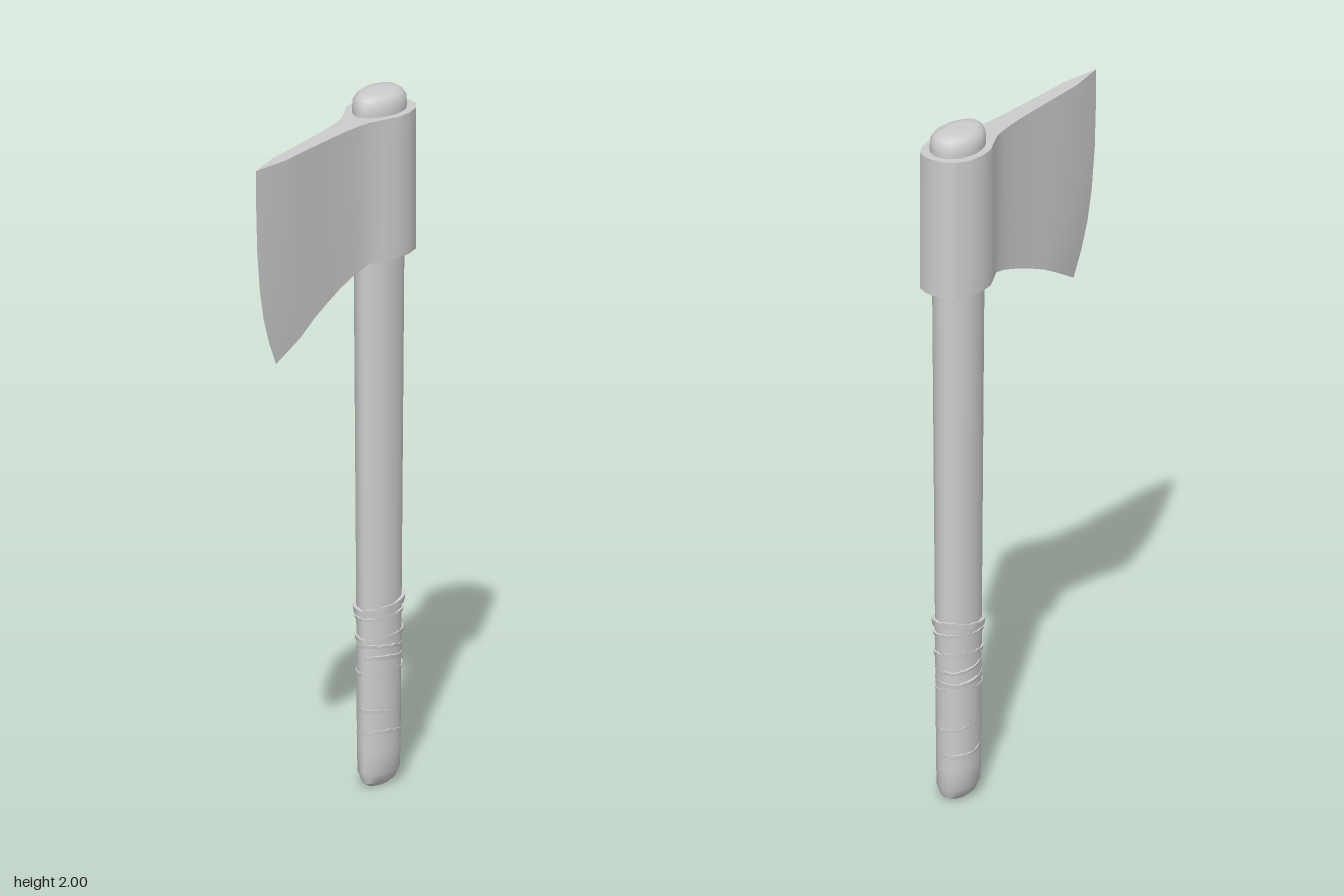
import * as THREE from 'three';
import { mergeVertices, toCreasedNormals } from 'three/addons/utils/BufferGeometryUtils.js';

// Lofts through rings that are mirrored about x = 0 (point 0 at the back), and caps both ends.
function loft(rings, crease) {
  const n = rings[0].length;
  const index = [];
  for (let r = 0; r < rings.length - 1; r++) {
    for (let i = 0; i < n; i++) {
      const j = (i + 1) % n;
      const a = r * n + i, b = r * n + j, c = a + n, d = b + n;
      index.push(a, c, b, b, c, d);
    }
  }
  const top = (rings.length - 1) * n;
  for (let i = 0; i < n / 2; i++) {
    const a = i, b = i + 1, c = (n - i) % n, d = n - i - 1;
    if (i > 0) index.push(top + a, top + c, top + d, a, d, c);
    if (b !== d) index.push(top + a, top + d, top + b, a, b, d);
  }
  const g = new THREE.BufferGeometry();
  g.setAttribute('position', new THREE.Float32BufferAttribute(rings.flat(2), 3));
  g.setIndex(index);
  return toCreasedNormals(mergeVertices(g), crease);
}

// Egg-shaped section, blunt at the back and narrower at the front.
function egg(y, halfWidth, zBack, zFront, sides = 24, warp = () => [0, 0]) {
  const mid = zBack + (zFront - zBack) * 0.45;
  const ring = [];
  for (let i = 0; i < sides; i++) {
    const t = (i / sides) * Math.PI * 2;
    const s = Math.sin(t), c = Math.cos(t);
    const [grow, lift] = warp(t);
    const w = (halfWidth + grow) * Math.sign(s) * Math.pow(Math.abs(s), c < 0 ? 1.2 : 1);
    const z = mid + (c > 0 ? zBack - grow - mid : mid - zFront - grow) * c;
    ring.push([w, y + lift, z]);
  }
  return ring;
}

// Interpolates a list of [input, output] pairs.
function lookup(table, v) {
  for (let i = 1; i < table.length; i++) {
    const [x0, y0] = table[i - 1], [x1, y1] = table[i];
    if (v <= x1) return y0 + (y1 - y0) * Math.max(0, (v - x0) / (x1 - x0));
  }
  return table[table.length - 1][1];
}

// Handle size at a height: half width, back z, front z.
const handleAt = (y) => [
  lookup([[0, 0.053], [0.6, 0.056], [1.5, 0.062], [1.94, 0.066]], y),
  lookup([[0, -0.336], [0.6, -0.342], [1.5, -0.35], [1.94, -0.357]], y),
  lookup([[0, -0.182], [0.6, -0.178], [1.5, -0.17], [1.94, -0.166]], y),
];

export function createModel() {
  const model = new THREE.Group();
  const grey = new THREE.MeshStandardMaterial({ color: 0xcccccc });
  grey.name = 'plain grey';
  const add = (name, geometry) => {
    const mesh = new THREE.Mesh(geometry, grey);
    mesh.name = name;
    model.add(mesh);
  };

  // Axe head: half of the plan outline, from the poll to the cutting edge
  const half = [
    [0, -0.38], [0.03, -0.376], [0.06, -0.36], [0.082, -0.324], [0.09, -0.275], [0.084, -0.228],
    [0.063, -0.185], [0.043, -0.14], [0.035, -0.095], [0.03, -0.05], [0.026, 0.02], [0.024, 0.09],
    [0.022, 0.17], [0.02, 0.262], [0, 0.38],
  ];
  const outline = [...half, ...half.slice(1, -1).reverse().map(([x, z]) => [-x, z])];
  const bottomCurve = [[-0.17, 1.535], [-0.14, 1.533], [-0.08, 1.515], [0, 1.489], [0.1, 1.449], [0.19, 1.403], [0.276, 1.355]];
  const edgeCurve = [[0, 0.276], [0.12, 0.312], [0.25, 0.341], [0.4, 0.361], [0.6, 0.375], [0.8, 0.38], [1, 0.38]];
  const start = -0.17;
  const sweep = (z, t) => z <= start ? z : start + (z - start) * (lookup(edgeCurve, t) - start) / (0.38 - start);
  const headRings = edgeCurve.map(([t]) => outline.map(([x, z]) => {
    const low = lookup(bottomCurve, sweep(z, 0));
    return [x, low + (1.942 - low) * t, sweep(z, t)];
  }));
  add('axeHead', loft(headRings, 0.5));

  // Handle, with a bevelled foot
  const shaft = [
    egg(0.0, 0.022, -0.3, -0.215),
    egg(0.012, 0.036, -0.326, -0.192),
    egg(0.04, 0.05, -0.337, -0.182),
  ];
  for (const y of [0.1, 0.25, 0.4, 0.6, 0.9, 1.2, 1.5, 1.9]) shaft.push(egg(y, ...handleAt(y)));
  add('handle', loft(shaft, 0.6));

  // Rounded end of the handle above the head
  add('handleTop', loft([
    egg(1.9, 0.066, -0.357, -0.166),
    egg(1.95, 0.068, -0.358, -0.165),
    egg(1.974, 0.067, -0.357, -0.167),
    egg(1.988, 0.058, -0.348, -0.175),
    egg(1.997, 0.045, -0.335, -0.188),
    egg(2.0, 0.025, -0.31, -0.215),
  ], 0.7));

  // Worn grip wraps: tilted, uneven bands that sink into the wood in places
  let seed = 7;
  const random = () => {
    seed = (seed * 16807) % 2147483647;
    return seed / 2147483647;
  };
  const bands = [[0.52, 0.022, 0.009], [0.495, 0.012, 0.007], [0.435, 0.016, 0.006], [0.4, 0.012, 0.006],
    [0.365, 0.014, 0.006], [0.335, 0.008, 0.004], [0.22, 0.012, 0.003], [0.15, 0.014, 0.004]];
  bands.forEach(([y, height, bulge], k) => {
    const phase = random() * 6, tilt = 0.004 + random() * 0.01;
    const rough = Array.from({ length: 40 }, () => random());
    const ring = (dy, grow) => egg(y + dy, ...handleAt(y + dy), 40, (t) => {
      const r = rough[Math.round((t / (Math.PI * 2)) * 40) % 40];
      const wave = 0.55 + 0.45 * Math.sin(t * 2 + phase);
      return [grow * (wave + 0.5 * r) - 0.002, tilt * Math.cos(t + phase) + (r - 0.5) * 0.006];
    });
    add('gripWrap' + (k + 1), loft([
      ring(-height / 2, -0.004), ring(-height / 2 + 0.001, bulge * 0.8),
      ring(height / 2 - 0.002, bulge), ring(height / 2, -0.004),
    ], 0.6));
  });

  return model;
}
